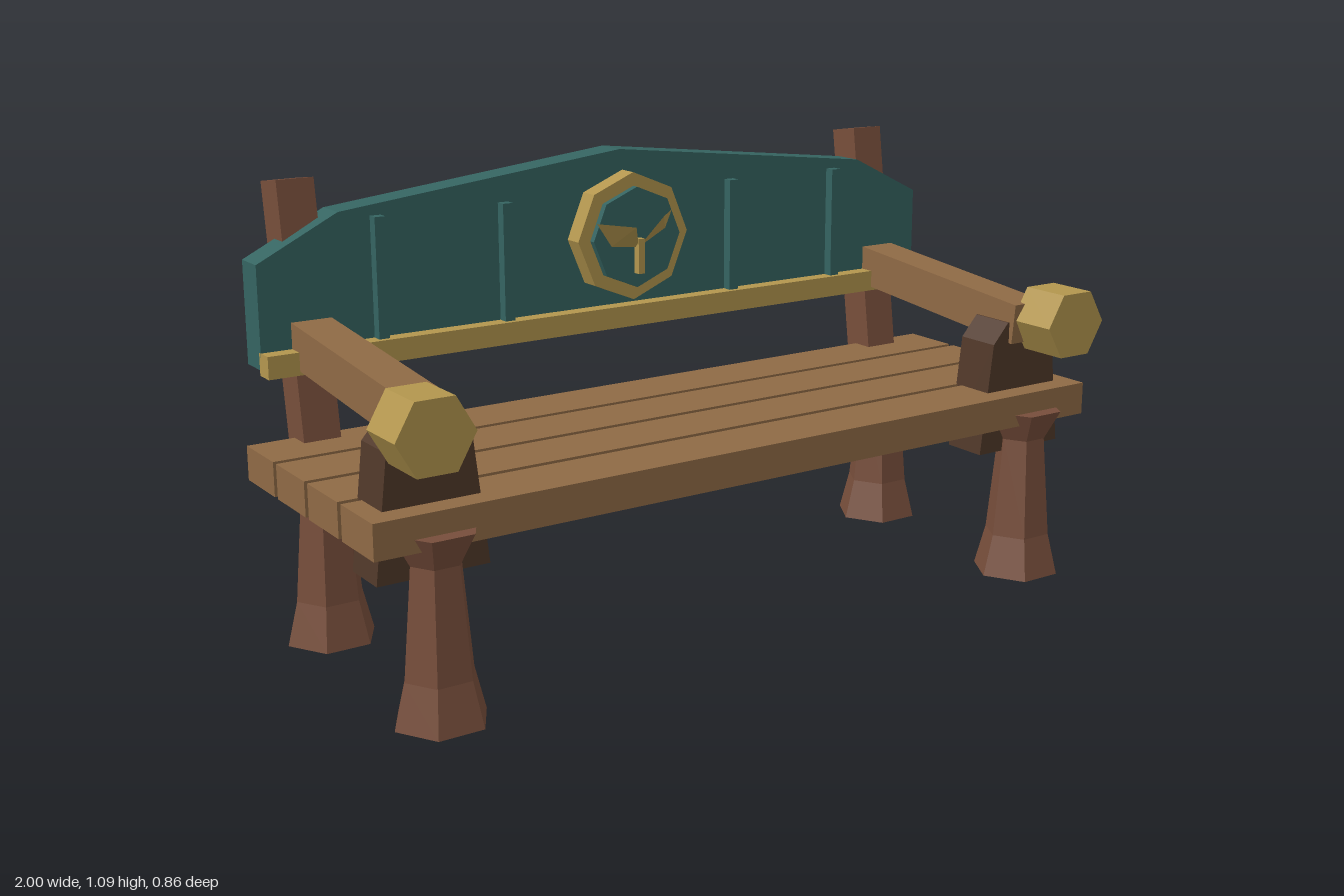
import * as THREE from 'three';
import { ConvexGeometry } from 'three/addons/geometries/ConvexGeometry.js';

const material = (name, color) => {
  const m = new THREE.MeshStandardMaterial({ color });
  m.name = name;
  return m;
};

// Faceted copy of a geometry: every face keeps its own normal
function faceted(geometry) {
  const g = geometry.index ? geometry.toNonIndexed() : geometry;
  g.computeVertexNormals();
  return g;
}

// Polygon in x and y, extruded from z0 to z1
function slab(points, z0, z1) {
  const shape = new THREE.Shape(points.map(([x, y]) => new THREE.Vector2(x, y)));
  return new THREE.ExtrudeGeometry(shape, { depth: z1 - z0, bevelEnabled: false }).translate(0, 0, z0);
}

// Right half of an outline, mirrored into a closed polygon (bottom to top)
function mirrored(half) {
  return [...half, ...half.filter(([x]) => x > 0).reverse().map(([x, y]) => [-x, y])];
}

// Prism with its axis along z
function prism(radius, depth, sides, start = 0) {
  return new THREE.CylinderGeometry(radius, radius, depth, sides, 1, false, start).rotateX(Math.PI / 2);
}

export function createModel() {
  const plankWood = material('plank wood', 0x8f6a45);
  const legWood = material('leg wood', 0x774e3b);
  const darkWood = material('dark wood', 0x503829);
  const teal = material('teal paint', 0x356461);
  const gold = material('gold trim', 0xb3964e);

  const model = new THREE.Group();
  model.name = 'bench';
  const add = (name, geometry, mat, x = 0, y = 0, z = 0) => {
    const mesh = new THREE.Mesh(faceted(geometry), mat);
    mesh.name = name;
    mesh.position.set(x, y, z);
    model.add(mesh);
    return mesh;
  };

  // Seat planks
  for (let i = 0; i < 4; i++) {
    add('seatPlank', new THREE.BoxGeometry(2, 0.082, 0.154), plankWood, 0, 0.446, 0.281 - i * 0.171);
  }

  // Six-sided leg profile, flared at foot and top
  const legProfile = [[0, 0], [0.11, 0], [0.083, 0.105], [0.06, 0.36], [0.1, 0.435], [0, 0.435]]
    .map(([r, y]) => new THREE.Vector2(r, y));
  // Arm support outline
  const supportOutline = mirrored([[0.133, 0.327], [0.1, 0.61], [0.054, 0.662]]);

  for (const side of [-1, 1]) {
    const x = side * 0.837;
    for (const [name, z] of [['frontLeg', 0.308], ['backLeg', -0.258]]) {
      add(name, new THREE.LatheGeometry(legProfile, 6, Math.PI / 6), legWood, x, 0, z);
    }
    add('armSupport', slab(supportOutline, 0.183, 0.3), darkWood, x);

    // Leaning back post
    const post = add('backPost', new THREE.BoxGeometry(0.092, 0.758, 0.091), legWood, x, 0.703, -0.331);
    post.rotation.x = -0.143;

    // Sloping armrest with a six-sided end knob
    const arm = add('armrest', new THREE.BoxGeometry(0.1, 0.102, 0.612), plankWood, x, 0.687, 0.01);
    arm.rotation.x = 0.093;
    add('armKnob', prism(0.092, 0.129, 6, Math.PI / 6), gold, side * 0.887, 0.668, 0.367);
  }

  // Backrest board with peaked top
  const backOutline = mirrored([[0.963, 0.663], [0.963, 0.907], [0.76, 1.008], [0, 1.094]]);
  add('backBoard', slab(backOutline, -0.366, -0.285), teal);
  add('backRail', new THREE.BoxGeometry(1.926, 0.054, 0.05), gold, 0, 0.677, -0.27);
  for (const x of [-0.668, -0.333, 0.333, 0.668]) {
    add('backBatten', new THREE.BoxGeometry(0.027, 0.3, 0.03), teal, x, 0.842, -0.274);
  }

  // Eight-sided medallion
  add('medallionRim', prism(0.16, 0.051, 8), gold, 0, 0.884, -0.249);
  add('medallionFace', prism(0.126, 0.02, 8), teal, 0, 0.884, -0.216);

  // Sprout: stem and two wedge-shaped leaves
  add('sproutStem', new THREE.BoxGeometry(0.018, 0.088, 0.02), gold, 0, 0.839, -0.196);
  const leaves = [
    [[0, 0.86, -0.2], [0.042, 0.94, -0.15], [0.097, 0.947, -0.197], [0.082, 0.9, -0.205]],
    [[0, 0.86, -0.2], [-0.038, 0.92, -0.15], [-0.122, 0.93, -0.197], [-0.076, 0.868, -0.205]],
  ];
  for (const corners of leaves) {
    add('sproutLeaf', new ConvexGeometry(corners.map((c) => new THREE.Vector3(...c))), gold);
  }

  return model;
}
